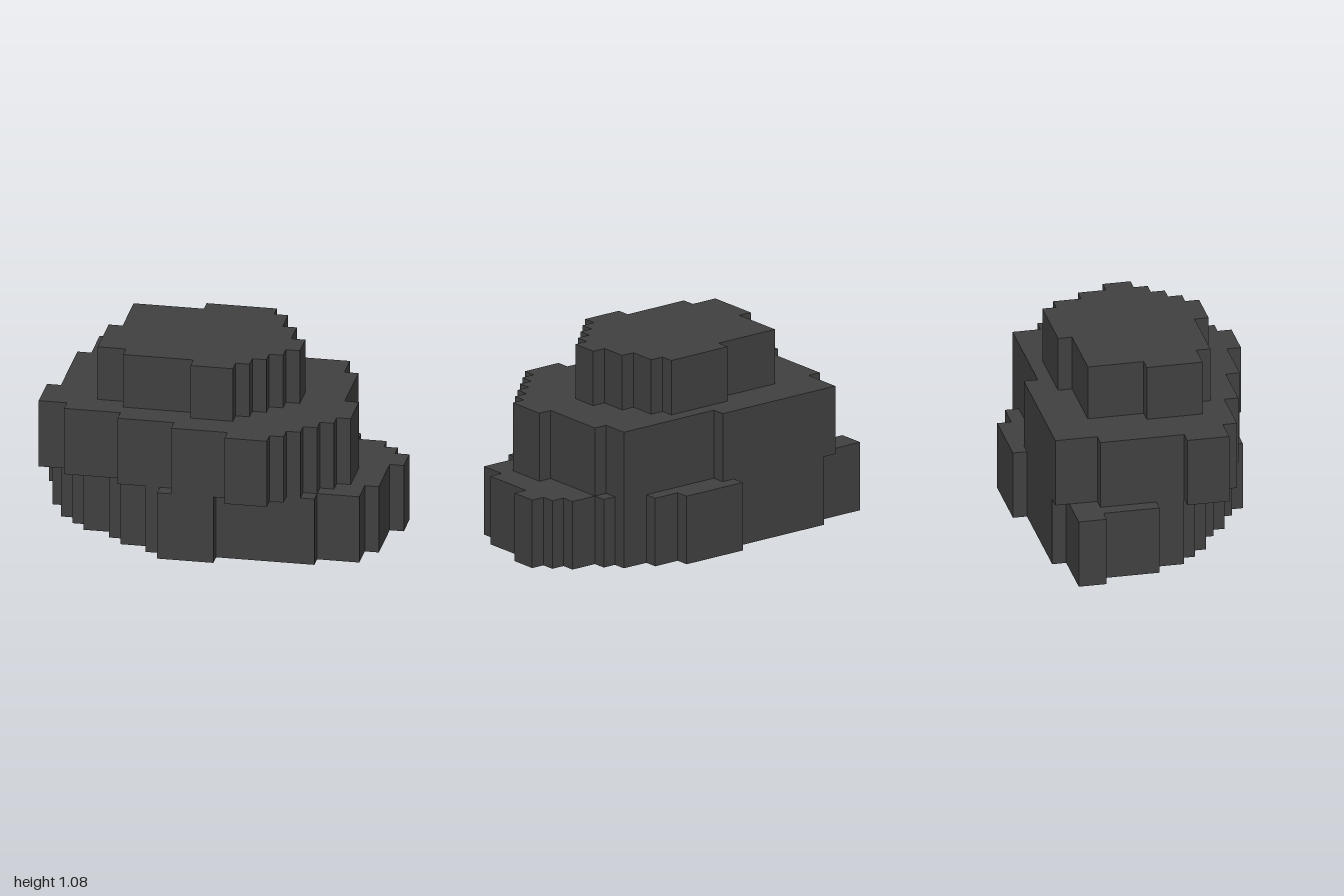
import * as THREE from 'three';

// Outlines are on a square grid: each [x, z] means "step to x, then to z",
// starting from the last entry.
const UNIT = 1 / 13;

const tiers = [
  {
    name: 'bottomTier', from: 0, to: 5,
    steps: [
      [4, -7.5], [6, -6.5], [8, -5.5], [9, -4.5], [11, -3.5], [12, -2.5], [13, -0.5],
      [12, 3.5], [11, 5.5], [8, 6.5], [1, 7.5], [-3, 6.5], [-4, 5.5], [-6, 4.5],
      [-7, 3.5], [-9, 2.5], [-10, 1.5], [-11, -0.5], [-12, -4.5], [-13, -6.5],
      [-9, -7.5], [-1, -8.5],
    ],
  },
  {
    name: 'middleTier', from: 5, to: 10,
    steps: [
      [0, -6.5], [8, -4.5], [9, 0.5], [10, 3.5], [9, 4.5], [8, 5.5], [7, 6.5], [6, 7.5],
      [5, 8.5], [2, 7.5], [-2, 6.5], [-6, 5.5], [-10, 4.5], [-12, 1.5], [-11, -4.5],
      [-10, -7.5],
    ],
  },
  {
    name: 'topTier', from: 10, to: 14,
    steps: [
      [3, -4.5], [4, -2.5], [5, -0.5], [6, 1.5], [5, 2.5], [4, 3.5], [3, 4.5], [2, 5.5],
      [-1, 4.5], [-6, 3.5], [-8, -0.5], [-7, -4.5], [-2, -5.5],
    ],
  },
];

// Turns a list of steps into an upright slab
function steppedSlab(steps, height) {
  let z = steps[steps.length - 1][1];
  const points = [];
  for (const [x, nextZ] of steps) {
    points.push(new THREE.Vector2(x * UNIT, -z * UNIT));
    points.push(new THREE.Vector2(x * UNIT, -nextZ * UNIT));
    z = nextZ;
  }
  const geometry = new THREE.ExtrudeGeometry(new THREE.Shape(points), {
    depth: height * UNIT, bevelEnabled: false,
  });
  return geometry.rotateX(-Math.PI / 2);
}

export function createModel() {
  const stone = new THREE.MeshStandardMaterial({ color: 0x404040 });
  stone.name = 'dark grey stone';

  const rock = new THREE.Group();
  rock.name = 'blockyRock';
  for (const { name, from, to, steps } of tiers) {
    const tier = new THREE.Mesh(steppedSlab(steps, to - from), stone);
    tier.name = name;
    tier.position.y = from * UNIT;
    rock.add(tier);
  }
  return rock;
}
